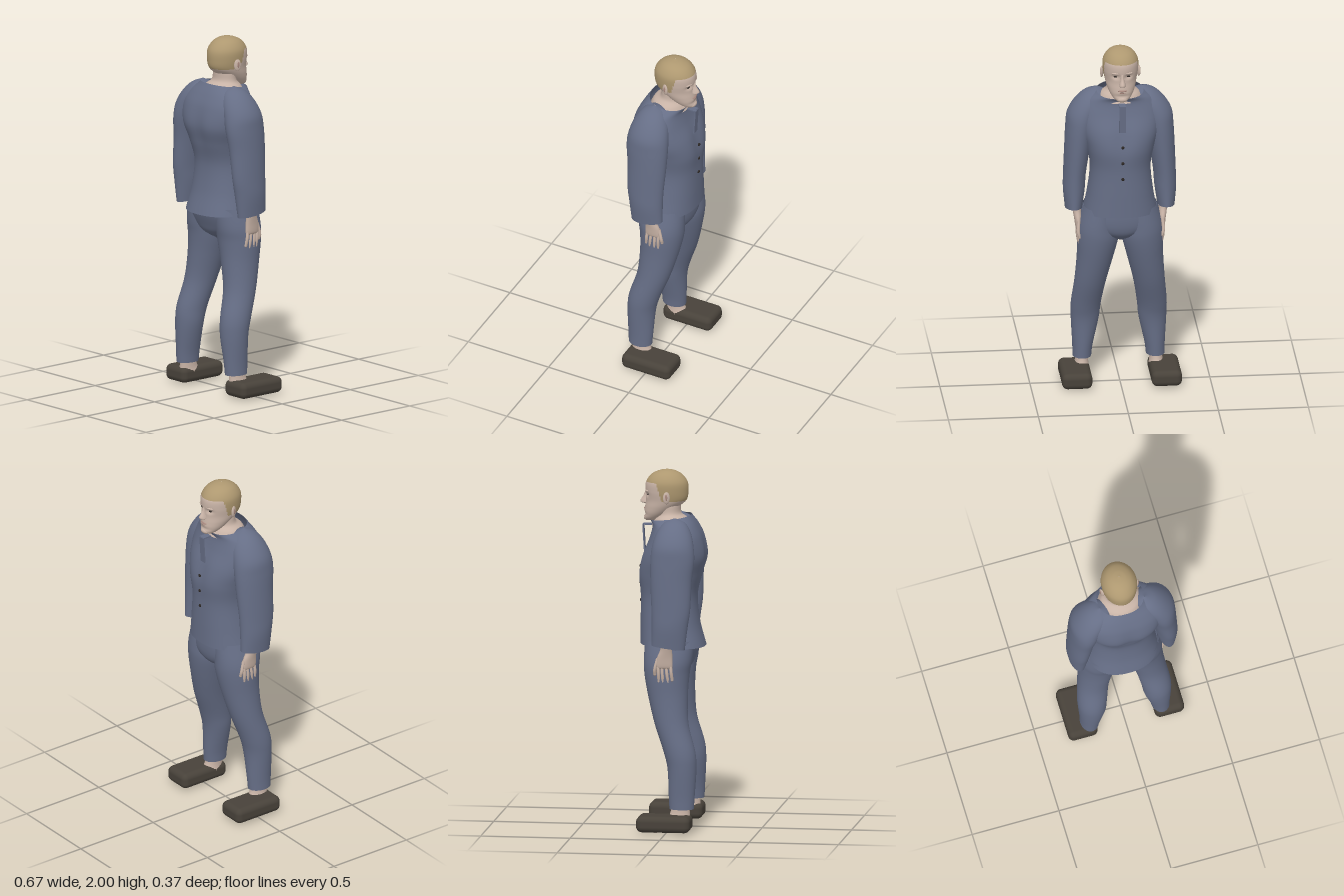
import * as THREE from 'three';
import { RoundedBoxGeometry } from 'three/addons/geometries/RoundedBoxGeometry.js';

const material = (name, color, side = THREE.FrontSide) => {
  const m = new THREE.MeshStandardMaterial({ color, side });
  m.name = name;
  return m;
};

// Smooth skin through horizontal ovals, listed upwards:
// [y, centre x, centre z, radius x, radius z, tilt = lift of the back edge]
function loft(sections, { power = 2, rows = 48, cols = 48, shape, split } = {}) {
  const centre = new THREE.CatmullRomCurve3(
    sections.map(([y, cx, cz]) => new THREE.Vector3(cx, y, cz)), false, 'catmullrom', 0.5);
  const radius = new THREE.CatmullRomCurve3(
    sections.map(([, , , rx, rz, tilt = 0]) => new THREE.Vector3(rx, tilt, rz)), false, 'catmullrom', 0.5);
  const oval = (v) => Math.sign(v) * Math.abs(v) ** (2 / power);
  const points = [];
  for (let i = 0; i <= rows; i++) {
    const c = centre.getPoint(i / rows), r = radius.getPoint(i / rows);
    for (let j = 0; j < cols; j++) {
      const a = (j / cols) * Math.PI * 2;
      const p = new THREE.Vector3(
        c.x + r.x * oval(Math.cos(a)), c.y + r.y * Math.sin(a), c.z + r.z * oval(Math.sin(a)));
      if (shape) shape(p);
      points.push(p);
    }
  }
  const sets = [[], []];
  for (let i = 0; i < rows; i++) {
    for (let j = 0; j < cols; j++) {
      const a = i * cols + j, b = i * cols + (j + 1) % cols;
      const mid = points[a].clone().add(points[b + cols]).multiplyScalar(0.5);
      sets[split && split(mid) ? 1 : 0].push(a, a + cols, b, b, a + cols, b + cols);
    }
  }
  const geometry = new THREE.BufferGeometry().setFromPoints(points);
  geometry.setIndex([...sets[0], ...sets[1]]);
  if (split) {
    geometry.addGroup(0, sets[0].length, 0);
    geometry.addGroup(sets[0].length, sets[1].length, 1);
  }
  geometry.computeVertexNormals();
  return geometry;
}

export function createModel() {
  const cloth = material('blue grey cloth', 0x666e86, THREE.DoubleSide);
  const skin = material('skin', 0xc8b3a6, THREE.DoubleSide);
  const hair = material('short hair', 0xae9870);
  const shoe = material('dark shoe', 0x48423a);
  const dark = material('dark detail', 0x2c2724);
  const lip = material('lips', 0xa8887e);

  const model = new THREE.Group();
  model.name = 'standingMan';
  const add = (name, geometry, mat, x = 0, y = 0, z = 0, parent = model) => {
    const mesh = new THREE.Mesh(geometry, mat);
    mesh.name = name;
    mesh.position.set(x, y, z);
    parent.add(mesh);
    return mesh;
  };
  const ball = (name, mat, x, y, z, rx, ry, rz, parent) => {
    const mesh = add(name, new THREE.SphereGeometry(1, 20, 14), mat, x, y, z, parent);
    mesh.scale.set(rx, ry, rz);
    return mesh;
  };

  // Shirt body, with slight hollows along the spine and between the chest muscles
  add('shirtBody', loft([
    [1.025, 0, 0.005, 0.205, 0.18, -0.008], [1.15, 0, -0.012, 0.182, 0.163],
    [1.3, 0, -0.018, 0.168, 0.157], [1.42, 0, -0.008, 0.19, 0.177],
    [1.52, 0, 0.014, 0.222, 0.18], [1.62, 0, 0.025, 0.23, 0.15],
    [1.69, 0, 0.018, 0.195, 0.125], [1.735, 0, -0.008, 0.13, 0.113, 0.014],
  ], {
    power: 2.3, cols: 64,
    shape: (p) => {
      const high = Math.exp(-(((p.y - 1.5) / 0.13) ** 2));
      p.z *= 1 - 0.07 * high * Math.exp(-((p.x / 0.05) ** 2));
    },
  }), cloth);

  // Trouser seat
  add('trouserSeat', loft([
    [0.86, 0, -0.01, 0.01, 0.05], [0.9, 0, -0.01, 0.12, 0.11], [0.95, 0, -0.008, 0.2, 0.135],
    [1.03, 0, 0.003, 0.215, 0.15], [1.08, 0, 0, 0.165, 0.135],
  ], { power: 2.2 }), cloth);

  // Placket standing off the chest, its top band and the buttons
  const placket = add('placket', new THREE.BoxGeometry(0.036, 0.155, 0.007), cloth, 0, 1.613, -0.159);
  placket.rotation.x = -0.06;
  add('collarBand', new THREE.BoxGeometry(0.036, 0.007, 0.085), cloth, 0, 1.69, -0.122);
  for (const [y, z] of [[1.455, -0.179], [1.36, -0.178], [1.265, -0.176]]) {
    ball('shirtButton', dark, 0, y, z, 0.009, 0.009, 0.006);
  }

  // Neck and its base inside the collar
  add('neck', loft([
    [1.69, 0, -0.005, 0.128, 0.11], [1.725, 0, -0.005, 0.108, 0.092],
    [1.755, 0, -0.012, 0.078, 0.062], [1.8, 0, -0.015, 0.072, 0.06], [1.86, 0, -0.02, 0.07, 0.07],
  ]), skin);

  // Head: faces above the hairline take the hair colour
  const hairline = (z) => 1.83 + 0.1 * THREE.MathUtils.smoothstep(-z, 0.045, 0.085);
  const head = new THREE.Group();
  head.name = 'head';
  model.add(head);
  add('skull', loft([
    [1.712, 0, -0.115, 0.008, 0.008], [1.72, 0, -0.113, 0.036, 0.042], [1.75, 0, -0.09, 0.062, 0.068],
    [1.79, 0, -0.06, 0.08, 0.093], [1.83, 0, -0.035, 0.09, 0.113], [1.88, 0, -0.032, 0.098, 0.12],
    [1.93, 0, -0.032, 0.097, 0.115], [1.97, 0, -0.032, 0.075, 0.086],
    [1.992, 0, -0.03, 0.042, 0.045], [2, 0, -0.03, 0.002, 0.002],
  ], {
    rows: 100, cols: 96, split: (p) => p.y > hairline(p.z),
    // Shallow eye sockets and a hollow above the chin
    shape: (p) => {
      if (p.z > -0.08) return;
      const socket = Math.exp(-(((Math.abs(p.x) - 0.035) / 0.02) ** 2) - ((p.y - 1.862) / 0.014) ** 2);
      const hollow = Math.exp(-((p.x / 0.04) ** 2) - ((p.y - 1.75) / 0.012) ** 2);
      p.z += 0.013 * socket + 0.007 * hollow;
    },
  }), [skin, hair], 0, 0, 0, head);
  add('nose', loft([
    [1.806, 0, -0.15, 0.004, 0.006], [1.812, 0, -0.152, 0.019, 0.022], [1.822, 0, -0.15, 0.018, 0.03],
    [1.85, 0, -0.147, 0.01, 0.016], [1.885, 0, -0.142, 0.008, 0.008],
  ], { rows: 20, cols: 20 }), skin, 0, 0, 0, head);
  ball('upperLip', lip, 0, 1.781, -0.148, 0.026, 0.006, 0.011, head);
  ball('lowerLip', lip, 0, 1.77, -0.146, 0.023, 0.006, 0.011, head);
  ball('chin', skin, 0, 1.729, -0.137, 0.032, 0.018, 0.024, head);

  for (const s of [-1, 1]) {
    const side = s > 0 ? 'left' : 'right';
    const mirrored = (rows) => rows.map(([y, x, ...rest]) => [y, s * x, ...rest]);

    // Eyes, brows and ears
    ball(side + 'Eye', dark, s * 0.035, 1.861, -0.131, 0.012, 0.005, 0.006, head);
    ball(side + 'Brow', skin, s * 0.036, 1.881, -0.138, 0.024, 0.007, 0.008, head).rotation.y = s * -0.35;
    const ear = ball(side + 'Ear', skin, s * 0.102, 1.852, -0.02, 0.008, 0.034, 0.02, head);
    ear.rotation.y = s * -0.4;
    ball(side + 'EarHollow', lip, s * 0.109, 1.855, -0.023, 0.003, 0.018, 0.009, head);

    // Sleeve, rising into the shoulder
    add(side + 'Sleeve', loft(mirrored([
      [1.04, 0.257, 0.012, 0.047, 0.093, -0.012], [1.15, 0.254, 0.02, 0.06, 0.1],
      [1.25, 0.249, 0.026, 0.063, 0.108], [1.4, 0.234, 0.025, 0.072, 0.115],
      [1.52, 0.219, 0.03, 0.081, 0.122], [1.6, 0.2, 0.03, 0.09, 0.115],
      [1.67, 0.165, 0.03, 0.085, 0.095], [1.72, 0.137, 0.03, 0.06, 0.06], [1.745, 0.13, 0.03, 0.004, 0.004],
    ])), cloth);

    // Hand with splayed fingers and a thumb
    add(side + 'Palm', loft(mirrored([
      [0.915, 0.232, -0.013, 0.006, 0.038], [0.93, 0.233, -0.013, 0.015, 0.046],
      [0.98, 0.235, -0.01, 0.02, 0.043], [1.03, 0.24, 0, 0.024, 0.033], [1.09, 0.248, 0.005, 0.03, 0.036],
    ]), { rows: 20, cols: 24 }), skin);
    const digits = [
      [0.022, 0.03, 0.855], [-0.003, 0.008, 0.835], [-0.026, -0.02, 0.83], [-0.047, -0.043, 0.845],
      [-0.05, -0.066, 0.885],
    ];
    digits.forEach(([z0, z1, y1], i) => {
      const path = new THREE.CatmullRomCurve3([
        new THREE.Vector3(s * 0.233, i === 4 ? 0.975 : 0.935, z0),
        new THREE.Vector3(s * 0.236, (0.935 + y1) / 2, (z0 + z1) / 2 - (i === 4 ? 0.008 : 0)),
        new THREE.Vector3(s * 0.228, y1, z1),
      ]);
      const name = side + (i === 4 ? 'Thumb' : 'Finger');
      add(name, new THREE.TubeGeometry(path, 8, 0.009, 10), skin);
      ball(name + 'Tip', skin, s * 0.228, y1, z1, 0.009, 0.009, 0.009);
    });

    // Trouser leg
    add(side + 'TrouserLeg', loft(mirrored([
      [0.13, 0.204, 0.08, 0.052, 0.068], [0.2, 0.2, 0.08, 0.057, 0.072], [0.35, 0.188, 0.08, 0.077, 0.08],
      [0.45, 0.183, 0.064, 0.083, 0.088], [0.6, 0.163, 0.018, 0.088, 0.094],
      [0.75, 0.139, -0.005, 0.101, 0.11], [0.87, 0.124, -0.013, 0.115, 0.125],
      [0.95, 0.12, -0.008, 0.113, 0.134], [1.06, 0.105, 0, 0.1, 0.138],
    ])), cloth);

    // Ankle, block shoe and the foot showing through the sole
    add(side + 'Ankle', loft(mirrored([
      [0.07, 0.21, 0.06, 0.045, 0.07], [0.11, 0.206, 0.072, 0.036, 0.054], [0.2, 0.203, 0.08, 0.034, 0.045],
    ]), { rows: 12, cols: 24 }), skin);
    add(side + 'Shoe', new RoundedBoxGeometry(0.168, 0.09, 0.3, 5, 0.032), shoe, s * 0.249, 0.055, -0.01);
    ball(side + 'Heel', skin, s * 0.22, 0.025, 0.08, 0.03, 0.02, 0.035);
    ball(side + 'FootBall', skin, s * 0.25, 0.02, -0.06, 0.045, 0.02, 0.025);
  }
  return model;
}
